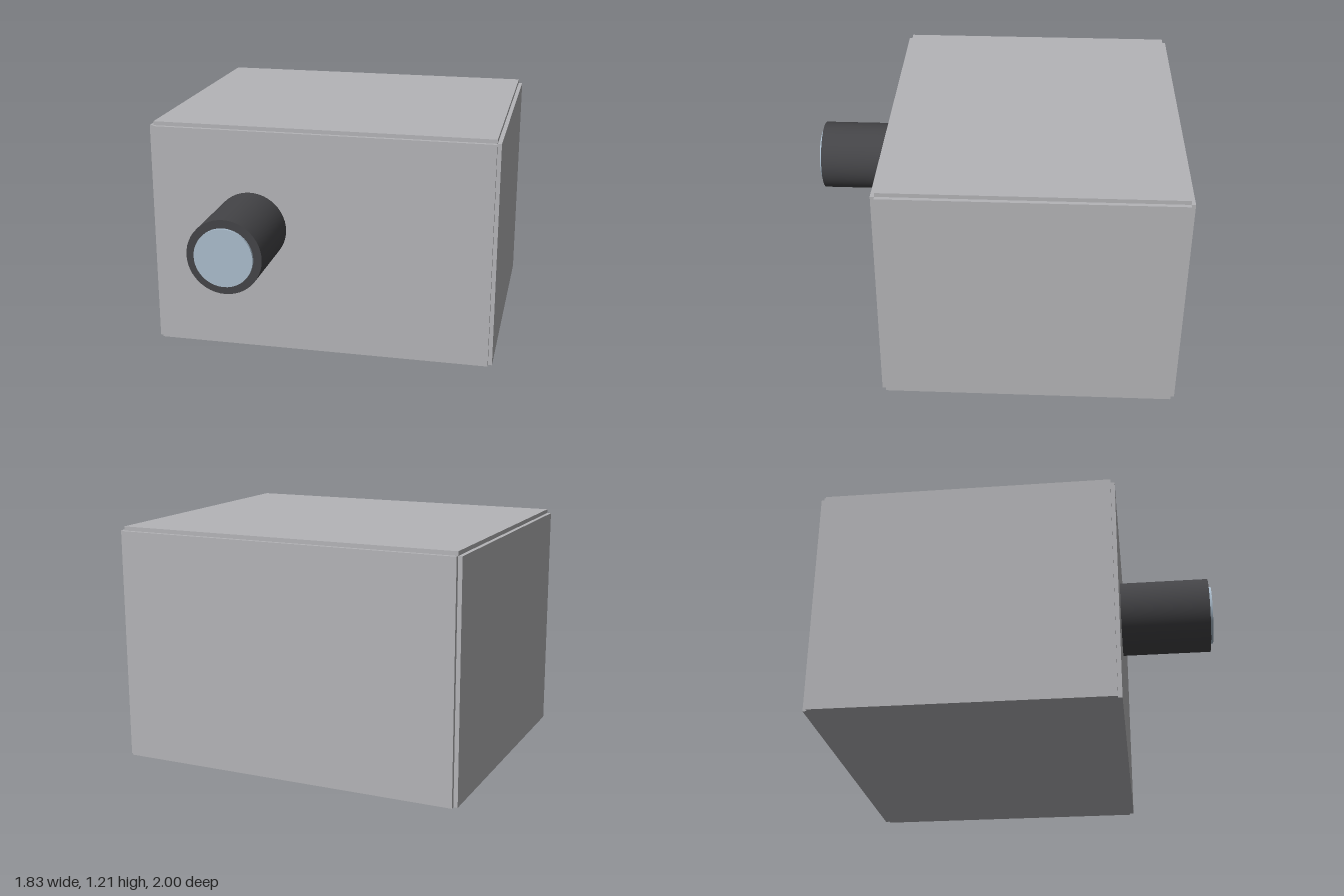
import * as THREE from 'three';

const shell = new THREE.MeshStandardMaterial({ color: 0xb4b4b7 });
shell.name = 'grey shell';
const dark = new THREE.MeshStandardMaterial({ color: 0x444447 });
dark.name = 'dark barrel';
const glass = new THREE.MeshStandardMaterial({ color: 0xaabccc });
glass.name = 'pale blue glass';

export function createModel() {
  const model = new THREE.Group();
  model.name = 'projectorBox';

  const add = (name, geometry, material, x, y, z) => {
    const mesh = new THREE.Mesh(geometry, material);
    mesh.name = name;
    mesh.position.set(x, y, z);
    model.add(mesh);
    return mesh;
  };

  // Core of the housing
  const W = 1.785, H = 1.192, D = 1.487, T = 0.021, zMid = -0.235;
  add('core', new THREE.BoxGeometry(W, H, D), shell, 0, H / 2, zMid);

  // Raised panels, leaving a small step along every edge
  for (const s of [-1, 1]) {
    add(s > 0 ? 'leftPanel' : 'rightPanel', new THREE.BoxGeometry(T, H, D), shell,
      s * (W + T) / 2, H / 2, zMid);
    add(s > 0 ? 'frontPanel' : 'backPanel', new THREE.BoxGeometry(W, H, T), shell,
      0, H / 2, zMid + s * (D + T) / 2);
  }
  add('topPanel', new THREE.BoxGeometry(W, T, D), shell, 0, H + T / 2, zMid);

  // Lens barrel with a slightly proud glass disc
  const lensX = -0.373, lensY = 0.672, zFace = zMid + D / 2 + T, zEnd = 0.985;
  const cylinder = (r, length) => new THREE.CylinderGeometry(r, r, length, 48).rotateX(Math.PI / 2);
  add('lensBarrel', cylinder(0.192, zEnd - zFace), dark, lensX, lensY, (zFace + zEnd) / 2);
  add('lensGlass', cylinder(0.15, 1 - zEnd), glass, lensX, lensY, (1 + zEnd) / 2);

  return model;
}
